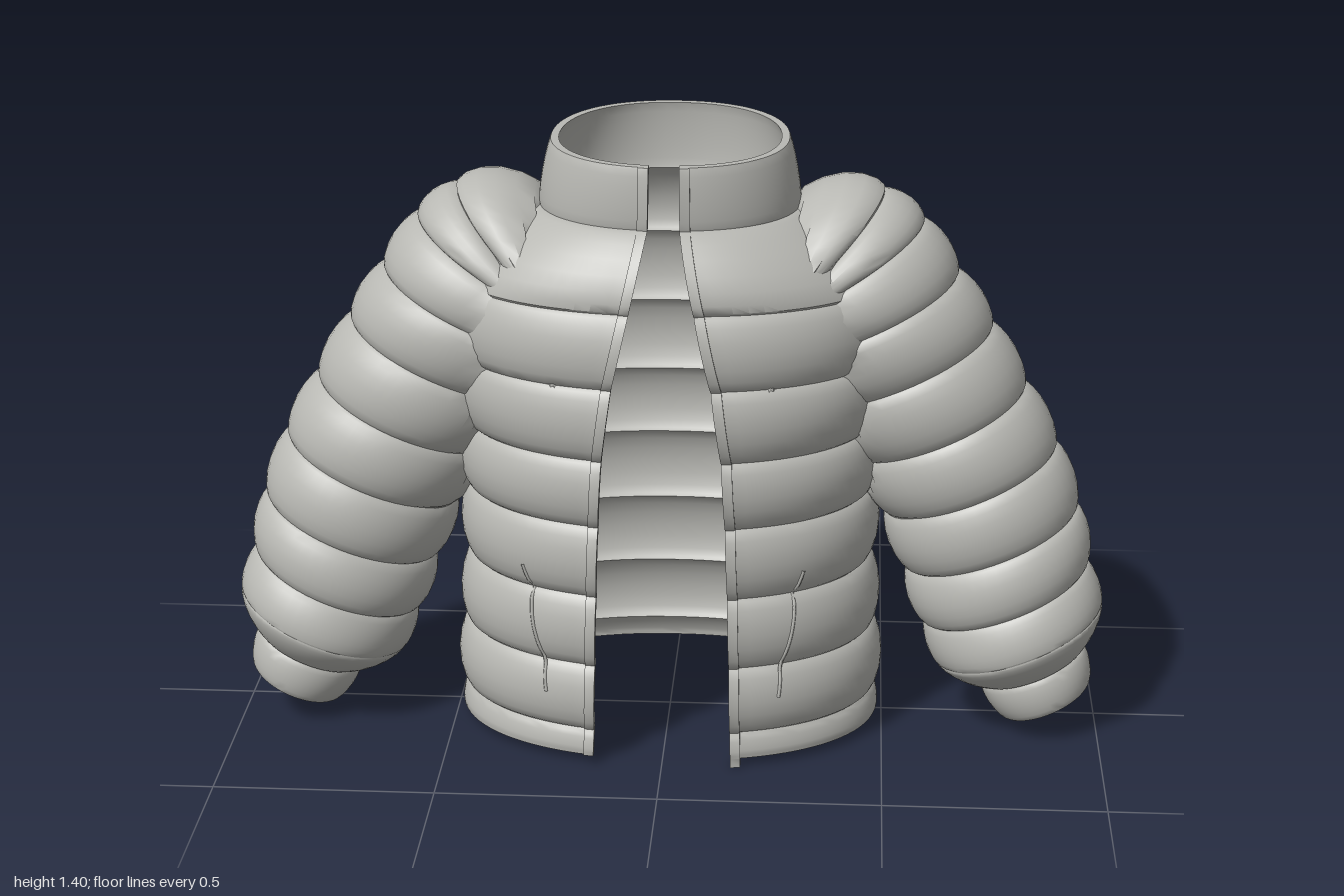
import * as THREE from 'three';
import { toCreasedNormals } from 'three/addons/utils/BufferGeometryUtils.js';

const fabric = new THREE.MeshStandardMaterial({ color: 0xb8b8b3, side: THREE.DoubleSide });
fabric.name = 'grey fabric';

const lerp = THREE.MathUtils.lerp;
const ROUND = 0.92; // slightly squared ellipse
const STEPS = 8; // samples per quilted band
const WALL = 0.018; // cloth thickness
const puff = (t) => Math.pow(Math.max(0, Math.sin(Math.PI * t)), 0.6);
const ease = (k) => (1 - Math.cos((Math.PI * k) / STEPS)) / 2;

// Torso seams: height, half width, front depth, back depth, opening half width, puff of the band above
const SEAMS = [
  [0.02, 0.488, 0.345, 0.368, 0.165, 0.006],
  [0.08, 0.474, 0.332, 0.338, 0.163, 0.026],
  [0.24, 0.468, 0.332, 0.322, 0.16, 0.026],
  [0.41, 0.458, 0.333, 0.312, 0.156, 0.026],
  [0.58, 0.46, 0.337, 0.31, 0.15, 0.026],
  [0.74, 0.465, 0.345, 0.31, 0.141, 0.026],
  [0.91, 0.49, 0.35, 0.315, 0.118, 0.026],
  [1.08, 0.49, 0.338, 0.315, 0.08, 0.034],
  [1.245, 0.293, 0.248, 0.275, 0.044, 0.006],
  [1.392, 0.266, 0.243, 0.278, 0.042, 0],
];
const NECK = SEAMS.length - 2;

function section(y) {
  let i = 0;
  while (i < NECK && y >= SEAMS[i + 1][0]) i++;
  const p = SEAMS[i], q = SEAMS[i + 1];
  const t = THREE.MathUtils.clamp((y - p[0]) / (q[0] - p[0]), 0, 1);
  const [, a, front, back, gap] = p.map((v, k) => lerp(v, q[k], t));
  return { a, front, back, gap, h: p[5] * puff(t) };
}

// Angle, measured from the front, at which the cloth reaches a given x
const angleAt = (x, a) => Math.asin(Math.pow(x / a, 1 / ROUND));

function torsoPoint(y, phi, inner = false) {
  const s = section(y);
  const h = inner ? s.h - WALL : s.h;
  const sn = Math.sin(phi), cs = Math.cos(phi);
  const x = Math.sign(sn) * Math.pow(Math.abs(sn), ROUND) * (s.a + h);
  const z = Math.sign(cs) * Math.pow(Math.abs(cs), ROUND) * ((cs > 0 ? s.front : s.back) + h);
  return new THREE.Vector3(x, y - Math.max(0, y - 1.245) * z * 0.2, z);
}

// Skin joining equal-length rows of points
function loft(name, rows) {
  const n = rows[0].length, index = [];
  for (let r = 0; r < rows.length - 1; r++) {
    for (let c = 0; c < n - 1; c++) {
      const a = r * n + c, b = a + n;
      index.push(a, a + 1, b, b, a + 1, b + 1);
    }
  }
  const geometry = new THREE.BufferGeometry().setFromPoints(rows.flat());
  geometry.setIndex(index);
  const mesh = new THREE.Mesh(toCreasedNormals(geometry, 0.7), fabric);
  mesh.name = name;
  return mesh;
}

function heights(from, to) {
  const ys = [];
  for (let i = from; i < to; i++) {
    for (let k = 0; k < STEPS; k++) ys.push(lerp(SEAMS[i][0], SEAMS[i + 1][0], ease(k)));
  }
  ys.push(SEAMS[to][0] - 1e-6);
  return ys;
}

// Double-walled shell open at the front
function shell(name, from, to) {
  const row = (y, inner) => {
    const { a, gap } = section(y), edge = angleAt(gap, a);
    return Array.from({ length: 81 }, (_, c) =>
      torsoPoint(y, lerp(edge, 2 * Math.PI - edge, c / 80), inner));
  };
  const ys = heights(from, to);
  const rows = ys.map((y) => row(y, false));
  rows.push(...ys.slice().reverse().map((y) => row(y, true)));
  rows.push(row(ys[0], false));
  return loft(name, rows);
}

// Zip band along one front edge
function placket(name, side) {
  const ys = heights(0, SEAMS.length - 1);
  if (side > 0) ys.unshift(0);
  const rows = ys.map((y) => {
    const { a, gap } = section(y), edge = angleAt(gap, a);
    const out = torsoPoint(y, edge), inn = torsoPoint(y, edge, true);
    const x0 = side * (gap - 0.009), x1 = side * (gap + 0.014);
    const z0 = inn.z - 0.003, z1 = out.z + 0.007;
    return [[x0, z0], [x0, z1], [x1, z1 - 0.004], [x1, z0], [x0, z0]]
      .map(([x, z]) => new THREE.Vector3(x, out.y, z));
  });
  const cap = (row) => row.map(() => row[0].clone().lerp(row[2], 0.5));
  return loft(name, [cap(rows[0]), ...rows, cap(rows[rows.length - 1])]);
}

// Sleeve seams: centre x, y, z, radius, depth radius, tilt in degrees, puff of the next band
const SLEEVE = [
  [0.2, 1.005, 0, 0.24, 0.19, 75, 0.047],
  [0.275, 1.06, 0, 0.293, 0.22, 46, 0.02],
  [0.325, 1.065, 0, 0.28, 0.222, 30, 0.022],
  [0.43, 0.99, 0, 0.237, 0.216, 24, 0.022],
  [0.525, 0.87, -0.008, 0.222, 0.206, 24, 0.022],
  [0.615, 0.735, -0.006, 0.21, 0.2, 24, 0.022],
  [0.69, 0.6, 0.004, 0.208, 0.194, 23, 0.022],
  [0.743, 0.46, 0.018, 0.206, 0.188, 22, 0.022],
  [0.778, 0.33, 0.034, 0.198, 0.186, 22, 0.012],
  [0.812, 0.236, 0.042, 0.204, 0.204, 22, 0.014],
  [0.845, 0.158, 0.058, 0.126, 0.118, 23, 0.01],
  [0.88, 0.075, 0.06, 0.11, 0.115, 24, 0],
  // lining
  [0.88, 0.077, 0.06, 0.096, 0.1, 24, 0],
  [0.845, 0.16, 0.056, 0.11, 0.104, 23, 0],
  [0.812, 0.236, 0.042, 0.187, 0.187, 22, 0],
  [0.778, 0.33, 0.032, 0.182, 0.17, 22, 0],
  [0.615, 0.735, -0.005, 0.195, 0.186, 24, 0],
];

function sleeveRing([cx, cy, cz, r, rz, tilt], h, side) {
  const ax = Math.cos((tilt * Math.PI) / 180), ay = Math.sin((tilt * Math.PI) / 180);
  return Array.from({ length: 49 }, (_, k) => {
    const u = (k / 48) * 2 * Math.PI;
    const d = Math.cos(u) * (r + h);
    const p = new THREE.Vector3(cx + ax * d, cy + ay * d, cz + Math.sin(u) * (rz + h));
    // keep the sleeve out of the body cavity by ending it within the torso wall
    const s = section(p.y), e = 2 / ROUND, mid = s.h - WALL / 2;
    const depth = (p.z > 0 ? s.front : s.back) + mid;
    const q = Math.pow(Math.pow(p.x / (s.a + mid), e) + Math.pow(Math.abs(p.z) / depth, e), 1 / e);
    if (q < 1) {
      p.x /= q;
      p.z /= q;
    }
    p.x *= side;
    return p;
  });
}

function sleeve(name, side) {
  const rows = [];
  for (let i = 0; i < SLEEVE.length - 1; i++) {
    for (let k = 0; k < STEPS; k++) {
      const t = ease(k);
      const station = SLEEVE[i].map((v, j) => lerp(v, SLEEVE[i + 1][j], t));
      rows.push(sleeveRing(station, SLEEVE[i][6] * puff(t), side));
    }
  }
  rows.push(sleeveRing(SLEEVE[SLEEVE.length - 1], 0, side));
  return loft(name, rows);
}

// Slanted pocket zip lying on the quilting
function pocket(name, side) {
  const points = Array.from({ length: 16 }, (_, k) => {
    const t = k / 15, y = lerp(0.17, 0.47, t);
    return torsoPoint(y, side * angleAt(lerp(0.25, 0.3, t), section(y).a));
  });
  const path = new THREE.CatmullRomCurve3(points);
  const mesh = new THREE.Mesh(new THREE.TubeGeometry(path, 40, 0.004, 6), fabric);
  mesh.name = name;
  return mesh;
}

export function createModel() {
  const jacket = new THREE.Group();
  jacket.name = 'pufferJacket';
  jacket.add(shell('hem', 0, 1), shell('quiltedBody', 1, NECK), shell('collar', NECK, NECK + 1));
  for (const [label, side] of [['left', 1], ['right', -1]]) {
    jacket.add(
      sleeve(label + 'Sleeve', side),
      placket(label + 'ZipBand', side),
      pocket(label + 'PocketZip', side),
    );
  }
  return jacket;
}
